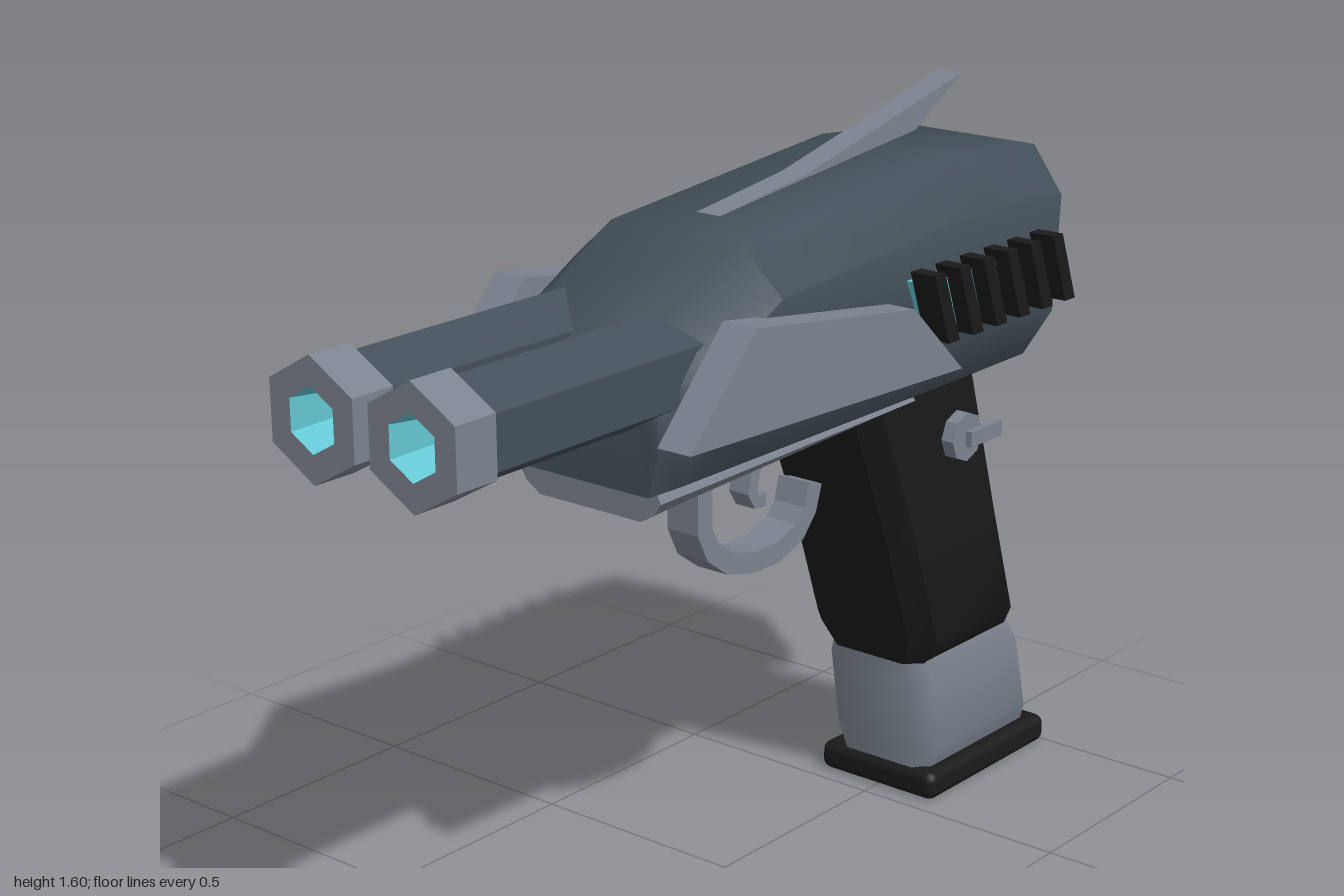
import * as THREE from 'three';
import { toCreasedNormals } from 'three/addons/utils/BufferGeometryUtils.js';
import { RoundedBoxGeometry } from 'three/addons/geometries/RoundedBoxGeometry.js';

const material = (name, color, flatShading = false) => {
  const m = new THREE.MeshStandardMaterial({ color, flatShading });
  m.name = name;
  return m;
};

// Skin through rings; each ring is its +x half, mirrored to close the loop.
function loft(halves, crease = 0.6) {
  const rings = halves.map((h) => [...h, ...h.map(([x, y, z]) => [-x, y, z]).reverse()]);
  const n = rings[0].length, pos = [], idx = [];
  rings.forEach((r) => r.forEach((p) => pos.push(...p)));
  for (let i = 0; i < rings.length - 1; i++) {
    for (let j = 0; j < n; j++) {
      const a = i * n + j, b = i * n + (j + 1) % n;
      idx.push(a, b, b + n, a, b + n, a + n);
    }
  }
  const last = (rings.length - 1) * n;
  for (let j = 1; j < n - 1; j++) {
    idx.push(0, j + 1, j, last, last + j, last + j + 1);
  }
  const g = new THREE.BufferGeometry();
  g.setAttribute('position', new THREE.Float32BufferAttribute(pos, 3));
  g.setIndex(idx);
  return toCreasedNormals(g, crease);
}

// Chamfered rectangle lying level: half width w, front zf, back zb, chamfer c.
const levelRing = ([y, w, zf, zb, c]) =>
  [[w - c, y, zb], [w, y, zb + c], [w, y, zf - c], [w - c, y, zf]];

// Side outline of [z, y] points, extruded from x0 to x1.
function sidePlate(points, x0, x1) {
  const shape = new THREE.Shape(points.map(([z, y]) => new THREE.Vector2(z, y)));
  const g = new THREE.ExtrudeGeometry(shape, { depth: x1 - x0, bevelEnabled: false });
  return g.rotateY(-Math.PI / 2).translate(x1, 0, 0);
}

// Constant-thickness band following [z, y] points.
function band(path, thickness, halfWidth) {
  const left = [], right = [];
  path.forEach(([z, y], i) => {
    const a = path[Math.max(i - 1, 0)], b = path[Math.min(i + 1, path.length - 1)];
    const len = Math.hypot(b[0] - a[0], b[1] - a[1]);
    const nz = -(b[1] - a[1]) / len * thickness / 2, ny = (b[0] - a[0]) / len * thickness / 2;
    left.push([z + nz, y + ny]);
    right.unshift([z - nz, y - ny]);
  });
  return sidePlate([...left, ...right], -halfWidth, halfWidth);
}

// Six-sided turned part pointing forward along z, from [radius, z] points.
const hexTurned = (profile) => new THREE.LatheGeometry(
  profile.map(([r, z]) => new THREE.Vector2(r, z)), 6).rotateX(Math.PI / 2);

export function createModel() {
  const model = new THREE.Group();
  model.name = 'sciFiPistol';
  const slate = material('slate', 0x434f59);
  const slateFaceted = slate.clone();
  slateFaceted.flatShading = true;
  const grey = material('steelGrey', 0x7b838f, true);
  const greySmooth = material('steelGrey', 0x7b838f);
  const black = material('black', 0x1a1a1a);
  const cyan = material('glowCyan', 0x62c6d2, true);
  const add = (name, geometry, mat, parent = model) => {
    const mesh = new THREE.Mesh(geometry, mat);
    mesh.name = name;
    parent.add(mesh);
    return mesh;
  };

  // Main body, nose to tail
  add('body', loft([
    [[0.12, 1.26, 0.43], [0.19, 1.19, 0.43], [0.2, 1.08, 0.44], [0.175, 0.99, 0.44]],
    [[0.15, 1.31, 0.36], [0.262, 1.23, 0.34], [0.265, 1.11, 0.34], [0.18, 0.99, 0.35]],
    [[0.165, 1.42, 0.15], [0.265, 1.33, 0.15], [0.265, 1.11, 0.15], [0.18, 0.99, 0.15]],
    [[0.165, 1.48, -0.53], [0.265, 1.38, -0.53], [0.265, 1.11, -0.53], [0.18, 0.99, -0.53]],
    [[0.165, 1.45, -0.85], [0.265, 1.36, -0.81], [0.265, 1.11, -0.79], [0.175, 0.99, -0.82]],
    [0, 1, 2, 3].map(() => [0.165, 1.25, -0.92]),
  ], 0.85), slate);

  // Rail below the body
  add('underRail', loft([[0.41, 0.925, 0.97], [-0.41, 0.965, 0.98]].map(([z, bottom, mid]) =>
    [[0.17, 0.992, z], [0.18, mid, z], [0.165, (mid + bottom) / 2, z], [0.13, bottom, z]])), greySmooth);

  // Top blade
  add('topBlade', sidePlate([[0.05, 1.437], [-0.22, 1.472], [-0.765, 1.6], [-0.6, 1.503],
    [-0.2, 1.463]], -0.03, 0.03), grey);

  // Twin barrels with hollow muzzles
  for (const side of [1, -1]) {
    const barrel = new THREE.Group();
    barrel.name = side > 0 ? 'leftBarrel' : 'rightBarrel';
    barrel.position.set(side * 0.125, 1.22, 0);
    model.add(barrel);
    add('barrelTube', hexTurned([[0, 0.1], [0.107, 0.1], [0.107, 0.91]]), slateFaceted, barrel);
    add('muzzle', hexTurned([[0.1, 0.9], [0.122, 0.9], [0.122, 1], [0.064, 1]]), grey, barrel);
    add('boreLining', hexTurned([[0.064, 1], [0.045, 0.86]]), cyan, barrel);
    add('boreEnd', hexTurned([[0.046, 0.865], [0, 0.865]]), black, barrel);
  }

  // Side fins and vents on both flanks
  for (const side of [1, -1]) {
    const flank = (x0, x1) => (side > 0 ? [x0, x1] : [-x1, -x0]);
    const label = side > 0 ? 'left' : 'right';
    add(label + 'Fin', sidePlate([[0.5, 1.12], [0.31, 1.32], [-0.19, 1.25], [-0.36, 1.09]],
      ...flank(0.25, 0.33)), grey);
    add(label + 'VentGlow', sidePlate([[-0.25, 1.285], [-0.73, 1.285], [-0.73, 1.18], [-0.3, 1.18]],
      ...flank(0.255, 0.308)), cyan);
    for (let i = 0; i < 6; i++) {
      const z = -0.235 - 0.085 * i;
      add(label + 'VentSlat', sidePlate([[z, 1.31], [z - 0.035, 1.31], [z - 0.092, 1.16],
        [z - 0.055, 1.16]], ...flank(0.285, 0.345)), black);
    }
  }

  // Grip, magazine and base pad
  add('grip', loft([
    [0.995, 0.165, -0.26, -0.68, 0.045],
    [0.65, 0.165, -0.4, -0.785, 0.045],
    [0.39, 0.165, -0.49, -0.868, 0.045],
    [0.33, 0.125, -0.51, -0.89, 0.035],
  ].map(levelRing)), black);
  add('magazine', loft([
    [0.345, 0.125, -0.508, -0.9, 0.04],
    [0.29, 0.142, -0.518, -0.922, 0.04],
    [0.11, 0.142, -0.548, -0.967, 0.04],
    [0.06, 0.12, -0.555, -0.975, 0.03],
  ].map(levelRing), 0.9), greySmooth);
  add('basePad', new RoundedBoxGeometry(0.314, 0.066, 0.46, 2, 0.022).translate(0, 0.033, -0.77), black);

  // Trigger and guard
  add('triggerGuard', band([[0.11, 0.95], [0.11, 0.8], [0.085, 0.75], [0.03, 0.71], [-0.05, 0.69],
    [-0.13, 0.69], [-0.2, 0.715], [-0.235, 0.755], [-0.252, 0.81]], 0.046, 0.04), grey);
  add('trigger', band([[-0.115, 0.97], [-0.075, 0.89], [-0.06, 0.835], [-0.075, 0.812],
    [-0.105, 0.81]], 0.03, 0.025), grey);

  // Selector knob and lever on the left side of the grip
  add('selectorKnob', new THREE.CylinderGeometry(0.055, 0.055, 0.04, 8)
    .rotateZ(Math.PI / 2).translate(0.175, 0.86, -0.585), grey);
  add('selectorLever', new THREE.BoxGeometry(0.025, 0.034, 0.115).translate(0.197, 0.857, -0.637), grey);

  return model;
}
